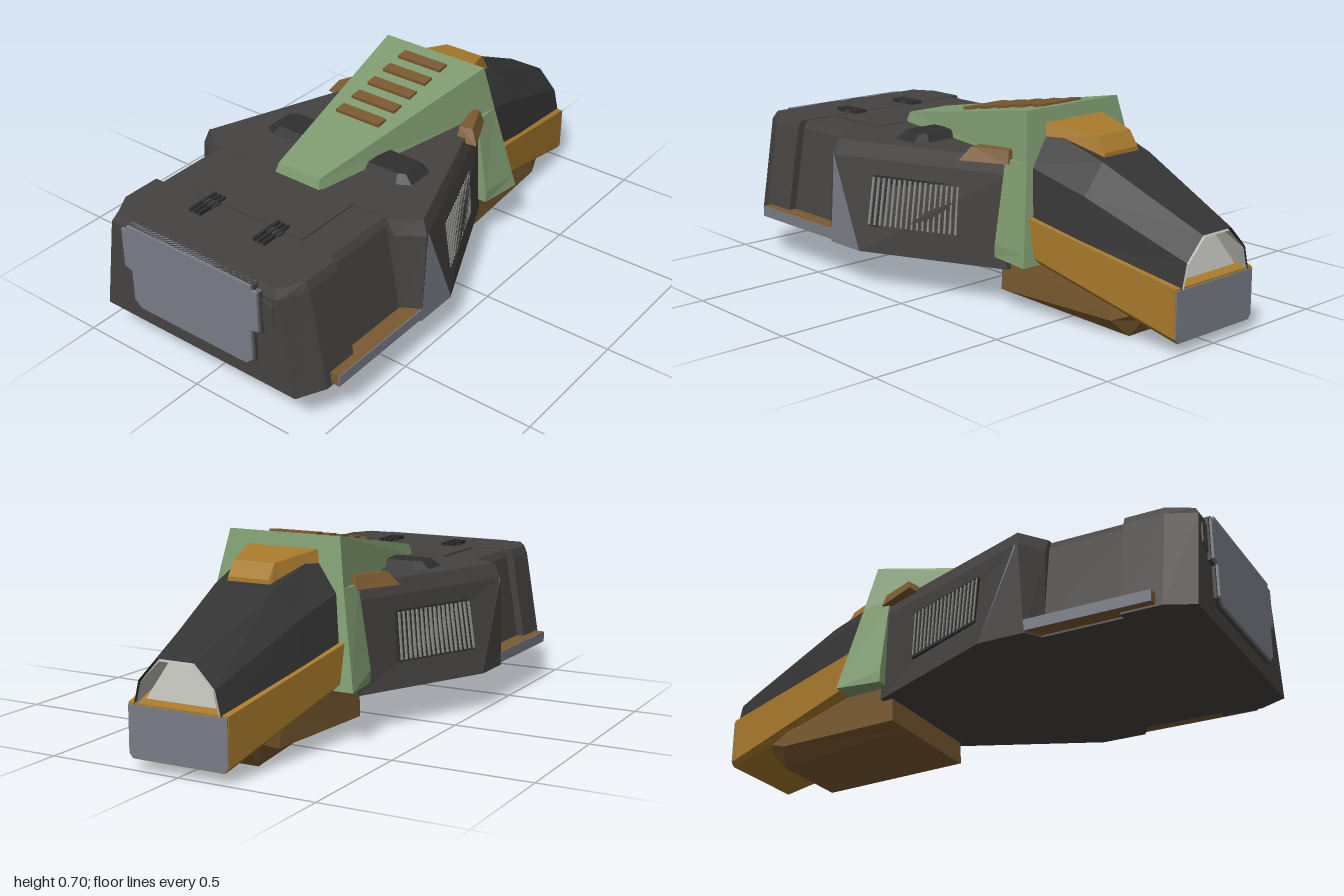
import * as THREE from 'three';

const mat = (color, side = THREE.FrontSide) =>
  new THREE.MeshStandardMaterial({ color, flatShading: true, side });
const DARK = mat(0x454341), BLACK = mat(0x302f2f), GREY = mat(0x7a7d87), GREEN = mat(0x7f9c70),
  BROWN = mat(0x7a5a30), GOLD = mat(0xa87a2c), SLAT = mat(0x8a8a88),
  SHELL = mat(0x353434, THREE.DoubleSide), LIGHT = mat(0xb4b4ae, THREE.DoubleSide);

// reverse the winding of unindexed triangles
function flip(geo) {
  const p = geo.attributes.position.array;
  for (let i = 0; i < p.length; i += 9)
    for (let k = 3; k < 6; k++) [p[i + k], p[i + k + 3]] = [p[i + k + 3], p[i + k]];
  geo.computeVertexNormals();
  return geo;
}

// skin through closed rings of equal length, turned so that faces point outward
function loft(rings, caps = true) {
  const pos = [], n = rings[0].length;
  const tri = (a, b, c) => pos.push(...a, ...b, ...c);
  for (let r = 0; r < rings.length - 1; r++)
    for (let i = 0; i < n; i++) {
      const j = (i + 1) % n, A = rings[r], B = rings[r + 1];
      tri(A[i], A[j], B[j]);
      tri(A[i], B[j], B[i]);
    }
  const last = rings[rings.length - 1];
  if (caps) for (let i = 1; i < n - 1; i++) {
    tri(rings[0][0], rings[0][i + 1], rings[0][i]);
    tri(last[0], last[i], last[i + 1]);
  }
  const geo = new THREE.BufferGeometry();
  geo.setAttribute('position', new THREE.Float32BufferAttribute(pos, 3));
  geo.computeVertexNormals();
  geo.computeBoundingBox();
  const c = geo.boundingBox.getCenter(new THREE.Vector3());
  const v = [0, 1, 2].map(() => new THREE.Vector3());
  let volume = 0;
  for (let i = 0; i < pos.length; i += 9) {
    v.forEach((q, k) => q.fromArray(pos, i + 3 * k).sub(c));
    volume += v[0].dot(v[1].clone().cross(v[2]));
  }
  return volume < 0 ? flip(geo) : geo;
}

const both = half => [...half, ...half.map(([x, y, z]) => [-x, y, z]).reverse()];
const plan = (y, pts) => pts.map(([x, z]) => [x, y, z]);      // outline seen from above
const cross = (z, pts) => pts.map(([x, y]) => [x, y, z]);     // outline seen from the front
const box = (w, h, d, x, y, z) => new THREE.BoxGeometry(w, h, d).translate(x, y, z);

export function createModel() {
  const model = new THREE.Group();
  const add = (name, geo, material) => {
    const m = new THREE.Mesh(geo, material);
    m.name = name;
    model.add(m);
    return m;
  };
  // a part on the left and its mirror image on the right
  const pair = (name, geo, material) => {
    const g = geo.index ? geo.toNonIndexed() : geo;
    add(name + 'Left', g, material);
    add(name + 'Right', flip(g.clone().scale(-1, 1, 1)), material);
  };

  // nose block with chamfered front corners
  add('noseBlock', loft([
    both(plan(0.14, [[0.42, 0.98], [0.47, 0.88], [0.47, 0.735]])),
    both(plan(0.5, [[0.36, 0.98], [0.408, 0.88], [0.408, 0.735]])),
    both(plan(0.53, [[0.345, 0.965], [0.395, 0.88], [0.395, 0.735]])),
  ]), DARK);
  add('neck', loft([
    both(plan(0.14, [[0.44, 0.74], [0.44, 0.4]])),
    both(plan(0.5, [[0.38, 0.74], [0.38, 0.4]])),
    both(plan(0.527, [[0.365, 0.74], [0.365, 0.4]])),
  ]), DARK);

  // wide hull narrowing to the rear
  add('hull', loft([
    both(plan(0.14, [[0.43, 0.45], [0.5, 0.41], [0.5, 0.24], [0.26, -0.29]])),
    both(plan(0.475, [[0.41, 0.45], [0.5, 0.39], [0.497, 0.375], [0.25, -0.28]])),
    both(plan(0.53, [[0.38, 0.45], [0.48, 0.38], [0.475, 0.37], [0.235, -0.275]])),
  ]), DARK);
  pair('cornerFacet', loft([
    [[0.5, 0.14, 0.41], [0.5, 0.14, 0.24], [0.499, 0.48, 0.38]],
    [[0.495, 0.14, 0.41], [0.502, 0.142, 0.24], [0.502, 0.48, 0.38]],
  ]), GREY);

  // low side sills with grey outer faces
  pair('sill', box(0.09, 0.04, 0.45, 0.452, 0.168, 0.63), BROWN);
  pair('sillFace', box(0.004, 0.04, 0.45, 0.498, 0.168, 0.63), GREY);

  // front plate, its frame and side latches
  const half = [[0.27, 0.527], [0.27, 0.51], [0.295, 0.51], [0.295, 0.36], [0.263, 0.352],
    [0.263, 0.235], [0.235, 0.21]];
  const outline = [...half, ...half.map(([x, y]) => [-x, y]).reverse()];
  const plate = (grow, depth) => new THREE.ExtrudeGeometry(
    new THREE.Shape(outline.map(([x, y]) => new THREE.Vector2(
      x + Math.sign(x) * grow, y > 0.5 ? y : y - grow))), { depth, bevelEnabled: false }).translate(0, 0, 0.955);
  add('frontPlateFrame', plate(0.008, 0.036), DARK);
  add('frontPlate', plate(0, 0.045), GREY);
  pair('frontLatch', loft([
    cross(0.93, [[0.29, 0.5], [0.357, 0.475], [0.357, 0.395], [0.29, 0.365]]),
    cross(0.985, [[0.29, 0.49], [0.345, 0.47], [0.345, 0.4], [0.29, 0.375]]),
  ]), DARK);

  // top hatch and its hinges
  add('hatch', box(0.48, 0.008, 0.27, 0, 0.529, 0.58), DARK);
  for (const x of [0.12, 0.14, 0.16])
    pair('hingeRib', box(0.01, 0.025, 0.125, x, 0.532, 0.75), BLACK);
  pair('hingePin', box(0.06, 0.02, 0.03, 0.14, 0.531, 0.74), DARK);

  // raised grips on the deck
  pair('deckGrip', loft([
    plan(0.525, [[0.14, 0.27], [0.28, 0.27], [0.33, 0.24], [0.33, 0.13], [0.28, 0.1], [0.14, 0.1]]),
    plan(0.557, [[0.14, 0.24], [0.265, 0.24], [0.29, 0.225], [0.29, 0.145], [0.265, 0.13], [0.14, 0.13]]),
  ]), BLACK);

  // louvred side vents
  const sideX = (y, z) => {
    const low = 0.26 + 0.453 * (z + 0.29), high = 0.25 + 0.377 * (z + 0.28);
    return low + (high - low) * (y - 0.14) / 0.335;
  };
  const onSide = (y0, y1, z0, z1, out) => {
    const corners = d => [[y0, z0], [y1, z0], [y1, z1], [y0, z1]]
      .map(([y, z]) => [sideX(y, z) + d, y, z]);
    return loft([corners(-0.02), corners(out)]);
  };
  pair('ventBack', onSide(0.235, 0.42, -0.118, 0.213, 0.004), BLACK);
  for (let i = 0; i < 17; i++) {
    const z = -0.112 + i * 0.0198;
    pair('ventSlat', onSide(0.242, 0.413, z, z + 0.006, 0.009), SLAT);
  }

  // brown caps on the rear hull corners
  pair('cornerCap', loft([
    plan(0.515, [[0.22, -0.29], [0.262, -0.295], [0.34, -0.13], [0.26, -0.12]]),
    plan(0.562, [[0.22, -0.28], [0.248, -0.285], [0.305, -0.155], [0.255, -0.145]]),
  ]), BROWN);

  // green wedge hood and the collar below it
  add('hood', loft([
    both([[0.09, 0.568, 0.445], [0.1, 0.52, 0.46]]),
    both([[0.22, 0.703, -0.345], [0.254, 0.52, -0.38]]),
  ]), GREEN);
  add('collar', loft([
    both(plan(0.19, [[0.3, -0.27], [0.323, -0.44]])),
    both(plan(0.235, [[0.3, -0.27], [0.314, -0.432]])),
    both(plan(0.53, [[0.25, -0.27], [0.252, -0.378]])),
  ]), GREEN);
  const pitch = Math.atan2(0.135, 0.79);
  for (const z of [-0.265, -0.172, -0.08, 0.012, 0.102]) {
    const slat = add('hoodSlat', new THREE.BoxGeometry(0.19, 0.016, 0.046), BROWN);
    slat.position.set(0, 0.568 + (0.445 - z) * 0.171 + 0.002, z);
    slat.rotation.x = pitch - 0.06;
  }

  // rear canopy, open at its end
  const canopyRings = [
    [-0.355, 0.262, 0.345, 0.228, 0.52, 0.13, 0.632],
    [-0.6, 0.232, 0.295, 0.2, 0.45, 0.115, 0.553],
    [-1, 0.168, 0.205, 0.145, 0.3, 0.07, 0.377],
  ];
  const canopy = (inset, list) => list.map(([z, a, b, c, d, e, f]) =>
    both(cross(z, [[a - inset, b], [c - inset, d - inset / 2], [e - inset, f - inset]])));
  add('canopy', loft(canopy(0, canopyRings), false), SHELL);
  add('canopyLining', loft(canopy(0.008,
    [[-0.78, 0.203, 0.254, 0.175, 0.382, 0.095, 0.475], canopyRings[2]]), false), LIGHT);
  const wall = (dz) => both([[0.15, 0.225, -0.96 + dz], [0.07, 0.405, -0.87 + dz]]);
  add('canopyEndWall', loft([wall(0), wall(0.01)]), LIGHT);

  // golden tail boom with grey end plate
  add('tailBoom', loft([
    both(cross(-0.37, [[0.28, 0.36], [0.28, 0.235], [0.26, 0.215]])),
    both(cross(-0.995, [[0.19, 0.222], [0.19, 0.055], [0.175, 0.037]])),
  ]), GOLD);
  add('tailEndPlate', loft([
    both(cross(-0.99, [[0.188, 0.216], [0.188, 0.056], [0.174, 0.04]])),
    both(cross(-1, [[0.188, 0.216], [0.188, 0.056], [0.174, 0.04]])),
  ]), GREY);
  add('canopyBlock', loft([
    both([[0.155, 0.6, -0.35], [0.14, 0.655, -0.35]]),
    both([[0.095, 0.55, -0.545], [0.08, 0.627, -0.54]]),
    both([[0.09, 0.54, -0.578], [0.08, 0.575, -0.576]]),
  ]), GOLD);

  // brown keel under the tail
  add('keel', loft([
    both([[0.245, 0.22, -0.25], [0.245, 0.057, -0.245], [0.155, 0.055, -0.245]]),
    both([[0.215, 0.16, -0.72], [0.215, 0.06, -0.74], [0.155, 0, -0.77]]),
    both([[0.19, 0.13, -0.8], [0.19, 0.09, -0.815], [0.155, 0.07, -0.83]]),
  ]), BROWN);

  return model;
}
